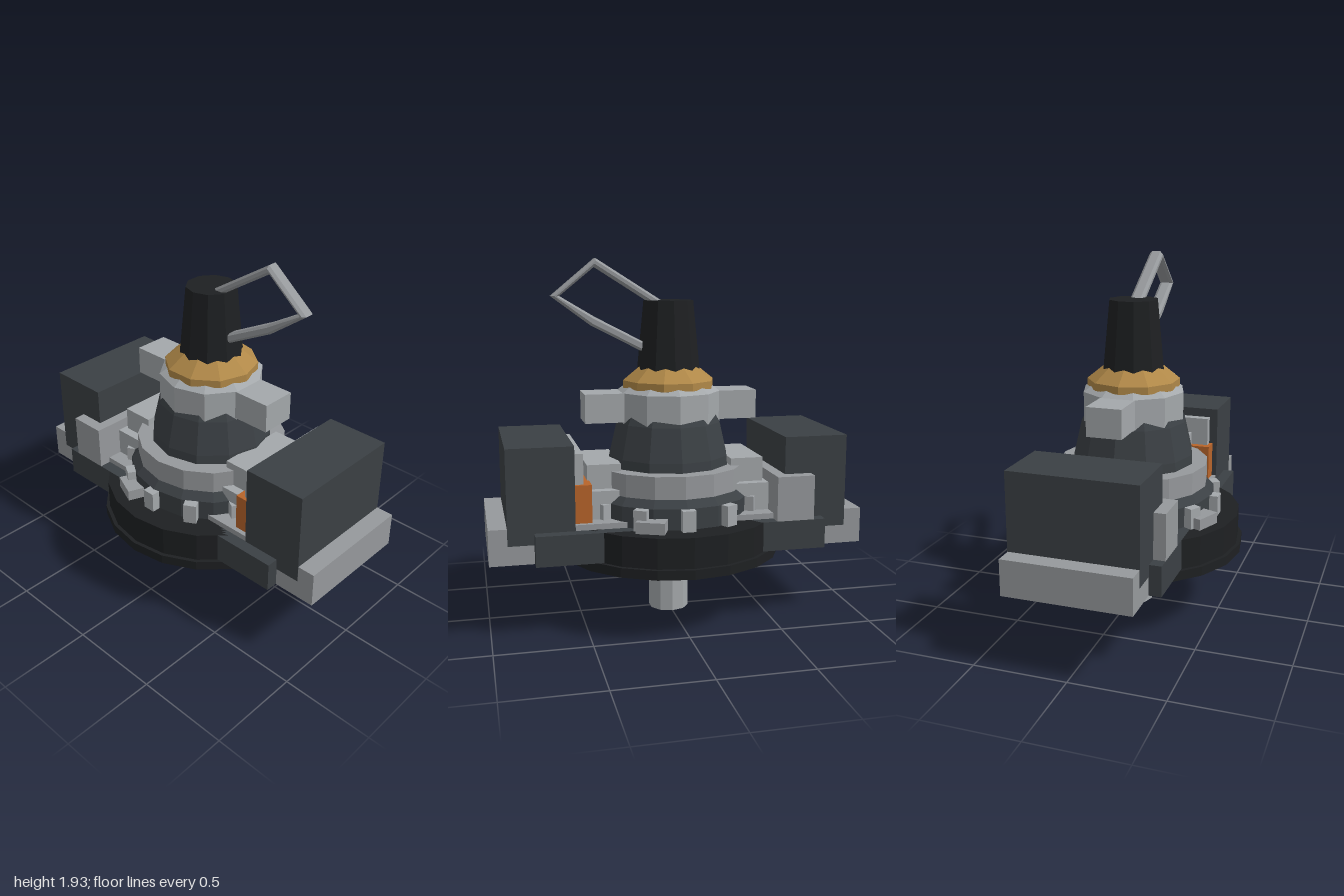
import * as THREE from 'three';

const mat = (color) => new THREE.MeshStandardMaterial({ color, flatShading: true });

export function createModel() {
  const group = new THREE.Group();
  const grey = mat(0x96999c), light = mat(0xa4a8ab), dark = mat(0x3b4044);
  const black = mat(0x1e2022), gold = mat(0xb08848), orange = mat(0xb8642a);

  const add = (name, geometry, material) => {
    const mesh = new THREE.Mesh(geometry, material);
    mesh.name = name;
    group.add(mesh);
    return mesh;
  };
  // Box from its x, y and z limits
  const box = (name, material, x0, x1, y0, y1, z0, z1) => {
    const m = add(name, new THREE.BoxGeometry(x1 - x0, y1 - y0, z1 - z0), material);
    m.position.set((x0 + x1) / 2, (y0 + y1) / 2, (z0 + z1) / 2);
    return m;
  };
  // Faceted turned part from [radius, height] pairs, closed at both ends
  const turned = (name, material, sides, profile, turn = 0) => {
    const pts = [[0, profile[0][1]], ...profile, [0, profile[profile.length - 1][1]]];
    const m = add(name, new THREE.LatheGeometry(pts.map(([r, y]) => new THREE.Vector2(r, y)), sides), material);
    m.rotation.y = turn;
    return m;
  };

  // Shaft and round base
  turned('shaft', light, 10, [[0.11, 0], [0.11, 0.36]]);
  turned('baseFlange', black, 20, [[0.61, 0.35], [0.61, 0.4]]);
  turned('baseDisc', black, 20, [[0.59, 0.4], [0.59, 0.56]]);

  // Cross plate and long bar
  box('crossPlate', dark, -0.77, 0.77, 0.401, 0.56, -0.4, 0.4);
  box('baseBar', grey, -1, 1, 0.4, 0.59, -0.335, 0.335);

  // Housings on both ends, with blocks beside the ring
  for (const s of [-1, 1]) {
    const span = (a, b) => (s > 0 ? [a, b] : [-b, -a]);
    box('housing', dark, ...span(0.56, 0.905), 0.5, 1, -0.337, 0.337);
    box('lowerBlock', light, ...span(0.3, 0.5), 0.57, 0.74, -0.25, 0.25);
    box('upperBlock', light, ...span(0.3, 0.48), 0.6, 0.87, -0.2, 0.2);
  }
  box('rightPanel', grey, -0.705, -0.5, 0.56, 0.8, -0.4, 0.4);
  box('leftPanel', light, 0.51, 0.565, 0.59, 0.95, -0.29, 0.29);
  box('terminalStrip', orange, 0.47, 0.565, 0.59, 0.79, -0.31, 0.31);

  // Lower housing, ring and tapering body
  turned('lowerHousing', dark, 16, [[0.45, 0.56], [0.45, 0.67], [0.4, 0.72]]);
  turned('ring', grey, 16, [[0.41, 0.7], [0.41, 0.83]]);
  turned('body', dark, 12, [[0.335, 0.8], [0.33, 0.88], [0.288, 1.06], [0.22, 1.2]]);

  // Small lugs around the lower housing
  for (let i = 0; i < 12; i++) {
    const a = (i * Math.PI) / 6;
    const lug = add('lug', new THREE.BoxGeometry(0.07, 0.11, 0.09), light);
    lug.position.set(Math.sin(a) * 0.445, 0.615, Math.cos(a) * 0.445);
    lug.rotation.y = a;
  }
  for (const a of [-0.4, Math.PI - 0.4]) {
    const stop = add('stop', new THREE.BoxGeometry(0.15, 0.06, 0.09), grey);
    stop.position.set(Math.sin(a) * 0.48, 0.59, Math.cos(a) * 0.48);
    stop.rotation.y = a;
  }

  // Collar with its crossbar
  turned('collar', light, 10, [[0.28, 1.06], [0.28, 1.225], [0.23, 1.26]]);
  box('crossbar', light, -0.47, 0.47, 1.07, 1.225, -0.095, 0.095);

  // Gold nut and black knob
  turned('nut', gold, 10, [[0.22, 1.235], [0.25, 1.245], [0.25, 1.285], [0.15, 1.365]], Math.PI / 2);
  turned('knob', black, 10, [[0.174, 1.3], [0.134, 1.71]]);

  // Angular loop handle
  const points = (list) => list.map(([x, y]) => new THREE.Vector2(x, y));
  const loop = new THREE.Shape(points([[0.02, 1.695], [0.08, 1.44], [0.13, 1.43], [0.42, 1.58], [0.63, 1.735], [0.395, 1.93]]));
  loop.holes.push(new THREE.Path(points([[0.09, 1.69], [0.4, 1.885], [0.585, 1.735], [0.4, 1.625], [0.11, 1.475]])));
  const loopGeometry = new THREE.ExtrudeGeometry(loop, {
    depth: 0.046, bevelEnabled: true, bevelThickness: 0.015, bevelSize: 0.012, bevelOffset: -0.012, bevelSegments: 1,
  });
  loopGeometry.translate(0, 0, -0.023);
  add('handle', loopGeometry, grey);

  return group;
}
